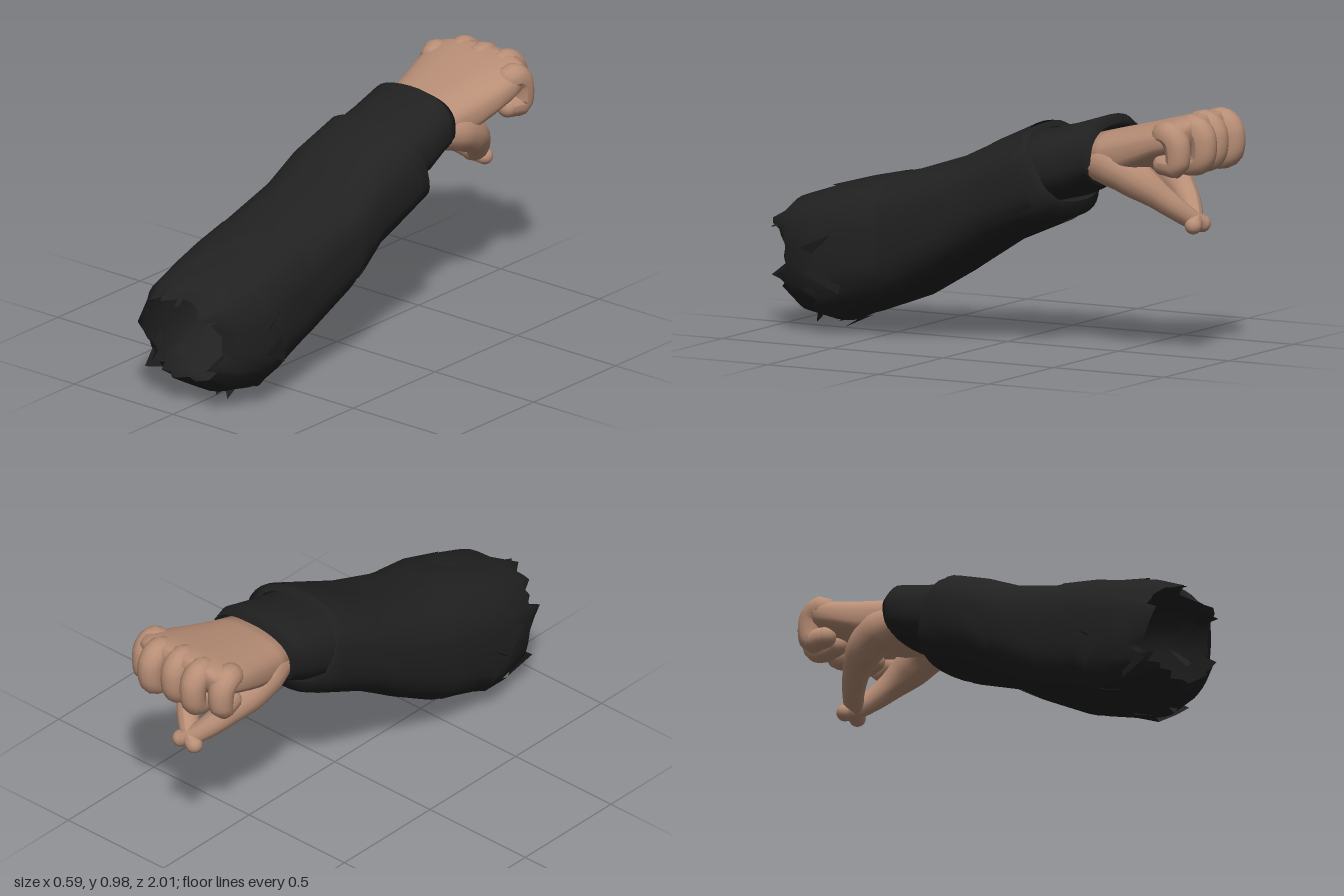
import * as THREE from 'three';

const cloth = new THREE.MeshStandardMaterial({ color: 0x212121, side: THREE.DoubleSide });
cloth.name = 'black cloth';
const skin = new THREE.MeshStandardMaterial({ color: 0xb88e76 });
skin.name = 'skin';

const hash = (n) => { const s = Math.sin(n * 127.1 + 3.7) * 43758.5453; return s - Math.floor(s); };

// Skin over cross-sections [zTop, yTop, zBottom, yBottom, halfWidth, xCentre], listed front to back.
function loft(rings, { sides = 36, power = 2.4, lump = 0, tornFront = 0, capped = false } = {}) {
  const pos = [], index = [];
  const se = (v) => Math.sign(v) * Math.pow(Math.abs(v), 2 / power);
  rings.forEach(([zt, yt, zb, yb, w, x = 0], i) => {
    for (let j = 0; j < sides; j++) {
      const a = (j / sides) * Math.PI * 2;
      const k = 1 - lump * hash(i * 57 + Math.floor(j / 2));
      const sy = se(Math.sin(a));
      const torn = i === 0 ? tornFront * hash(j + 11) : 0;
      pos.push(x + se(Math.cos(a)) * w * k, (yt + yb) / 2 + sy * (yt - yb) / 2 * k, zb + (zt - zb) * (sy + 1) / 2 - torn);
    }
  });
  for (let i = 0; i < rings.length - 1; i++) {
    for (let j = 0; j < sides; j++) {
      const a = i * sides + j, b = i * sides + (j + 1) % sides;
      index.push(a, a + sides, b, b, a + sides, b + sides);
    }
  }
  if (capped) {
    [0, rings.length - 1].forEach((i) => {
      const [zt, yt, zb, yb] = rings[i], c = pos.length / 3;
      pos.push(0, (yt + yb) / 2, (zt + zb) / 2);
      for (let j = 0; j < sides; j++) {
        const a = i * sides + j, b = i * sides + (j + 1) % sides;
        index.push(c, i ? b : a, i ? a : b);
      }
    });
  }
  const g = new THREE.BufferGeometry();
  g.setAttribute('position', new THREE.Float32BufferAttribute(pos, 3));
  g.setIndex(index);
  g.computeVertexNormals();
  return g;
}

// Finger or thumb: a tube whose radius varies along its path, with rounded ends.
function digit(name, points, radii) {
  const group = new THREE.Group();
  group.name = name;
  const pts = points.map((p) => new THREE.Vector3(...p));
  const curve = new THREE.CatmullRomCurve3(pts);
  const seg = 24, radial = 14;
  const g = new THREE.TubeGeometry(curve, seg, 1, radial);
  const p = g.attributes.position, v = new THREE.Vector3();
  for (let i = 0; i <= seg; i++) {
    const c = curve.getPointAt(i / seg);
    const t = (i / seg) * (radii.length - 1), k = Math.min(Math.floor(t), radii.length - 2);
    const r = THREE.MathUtils.lerp(radii[k], radii[k + 1], t - k);
    for (let j = 0; j <= radial; j++) {
      const n = i * (radial + 1) + j;
      v.fromBufferAttribute(p, n).sub(c).multiplyScalar(r).add(c);
      p.setXYZ(n, v.x, v.y, v.z);
    }
  }
  g.computeVertexNormals();
  group.add(new THREE.Mesh(g, skin));
  [0, pts.length - 1].forEach((e) => {
    const ball = new THREE.Mesh(new THREE.SphereGeometry(radii[e ? radii.length - 1 : 0], 14, 10), skin);
    ball.position.copy(pts[e]);
    group.add(ball);
  });
  return group;
}

export function createModel() {
  const model = new THREE.Group();
  model.name = 'arm';
  const add = (name, geometry, material) => {
    const m = new THREE.Mesh(geometry, material);
    m.name = name;
    model.add(m);
  };

  // Main sleeve, hollow and torn at the front
  add('sleeve', loft([
    [1.01, 0.465, 0.94, 0.115, 0.185, -0.01],
    [0.90, 0.522, 0.84, 0.06, 0.238, -0.005],
    [0.74, 0.57, 0.70, 0.035, 0.27],
    [0.60, 0.61, 0.56, 0.08, 0.265, -0.008],
    [0.40, 0.655, 0.38, 0.142, 0.264, -0.012],
    [0.16, 0.73, 0.18, 0.26, 0.268],
    [0.0, 0.81, 0.0, 0.38, 0.256, -0.008],
    [-0.1, 0.85, -0.18, 0.46, 0.25, 0.002],
    [-0.18, 0.885, -0.32, 0.52, 0.246, 0.01],
    [-0.19, 0.86, -0.33, 0.58, 0.222],
  ], { power: 2.6, lump: 0.025, tornFront: 0.08 }), cloth);

  // Overlapping torn layer and folded band
  add('tornLayer', loft([
    [0.84, 0.55, 0.78, 0.03, 0.268],
    [0.62, 0.612, 0.58, 0.075, 0.274],
    [0.46, 0.642, 0.44, 0.122, 0.266, -0.01],
  ], { power: 2.6, lump: 0.025, tornFront: 0.15 }), cloth);
  add('foldedBand', loft([
    [0.14, 0.737, 0.12, 0.295, 0.266],
    [0.0, 0.813, -0.02, 0.388, 0.258, -0.006],
    [-0.17, 0.887, -0.26, 0.49, 0.248, 0.008],
  ], { power: 2.5, lump: 0.02 }), cloth);

  // Cuff, turned inward around the wrist
  add('cuff', loft([
    [-0.12, 0.84, -0.24, 0.575, 0.222],
    [-0.32, 0.89, -0.36, 0.605, 0.218, -0.005],
    [-0.46, 0.932, -0.45, 0.65, 0.212, -0.01],
    [-0.50, 0.905, -0.48, 0.67, 0.203, -0.005],
    [-0.47, 0.885, -0.45, 0.685, 0.19],
  ], { lump: 0.015 }), cloth);

  // Loose shards of cloth: root, root, tip
  [
    [[0.25, 0.42, 0.62], [0.25, 0.31, 0.72], [0.295, 0.35, 0.77]],
    [[-0.25, 0.36, 0.58], [-0.25, 0.29, 0.66], [-0.295, 0.27, 0.71]],
    [[0.26, 0.32, 0.58], [0.25, 0.17, 0.62], [0.283, 0.25, 0.77]],
    [[-0.06, 0.05, 0.64], [0.05, 0.05, 0.64], [0.0, 0.0, 0.74]],
    [[0.06, 0.09, 0.76], [0.16, 0.12, 0.76], [0.11, 0.03, 0.80]],
    [[-0.12, 0.49, 0.88], [0.0, 0.50, 0.88], [-0.03, 0.47, 1.0]],
    [[0.07, 0.47, 0.88], [0.19, 0.42, 0.84], [0.16, 0.40, 0.98]],
    [[-0.23, 0.24, 0.80], [-0.19, 0.09, 0.80], [-0.2, 0.13, 0.93]],
    [[0.19, 0.3, 0.85], [0.18, 0.17, 0.84], [0.15, 0.21, 0.98]],
  ].forEach((tri) => {
    const g = new THREE.BufferGeometry();
    g.setAttribute('position', new THREE.Float32BufferAttribute(tri.flat(), 3));
    g.computeVertexNormals();
    add('clothShard', g, cloth);
  });

  // Palm and back of the hand
  add('palm', loft([
    [-0.42, 0.86, -0.42, 0.69, 0.175],
    [-0.52, 0.885, -0.52, 0.69, 0.19],
    [-0.64, 0.914, -0.62, 0.715, 0.212],
    [-0.74, 0.94, -0.70, 0.75, 0.231],
    [-0.82, 0.96, -0.78, 0.785, 0.243],
    [-0.88, 0.975, -0.86, 0.81, 0.238],
    [-0.92, 0.97, -0.90, 0.83, 0.205],
    [-0.94, 0.945, -0.92, 0.86, 0.15],
  ], { sides: 40, power: 2.7, capped: true }), skin);

  // Curled fingers, rooted inside the palm: x, forward shift, drop
  [[0, 0.012, 0], [0.108, 0, 0.004], [-0.108, 0, 0.004], [0.195, 0.065, 0.024], [-0.195, 0.065, 0.024]].forEach(([x, s, d]) => {
    model.add(digit('finger', [
      [x * 0.88, 0.88 - d, -0.83 + s * 0.6],
      [x, 0.932 - d, -0.897 + s],
      [x * 1.02, 0.905 - d, -0.942 + s],
      [x * 1.02, 0.81 - d, -0.945 + s],
      [x, 0.785, -0.91 + s],
      [x * 0.97, 0.785, -0.835 + s * 0.3],
    ], [0.035, 0.053, 0.054, 0.051, 0.047, 0.042]));
  });

  // Paired thumbs crossing at the tips beneath the fingers
  [1, -1].forEach((s) => {
    model.add(digit('thumb', [
      [s * 0.115, 0.765, -0.46],
      [s * 0.135, 0.745, -0.58],
      [s * 0.122, 0.69, -0.68],
      [s * 0.075, 0.615, -0.77],
      [s * 0.01, 0.55, -0.835],
      [s * -0.035, 0.527, -0.86],
    ], [0.07, 0.084, 0.076, 0.054, 0.043, 0.034]));
  });

  return model;
}
